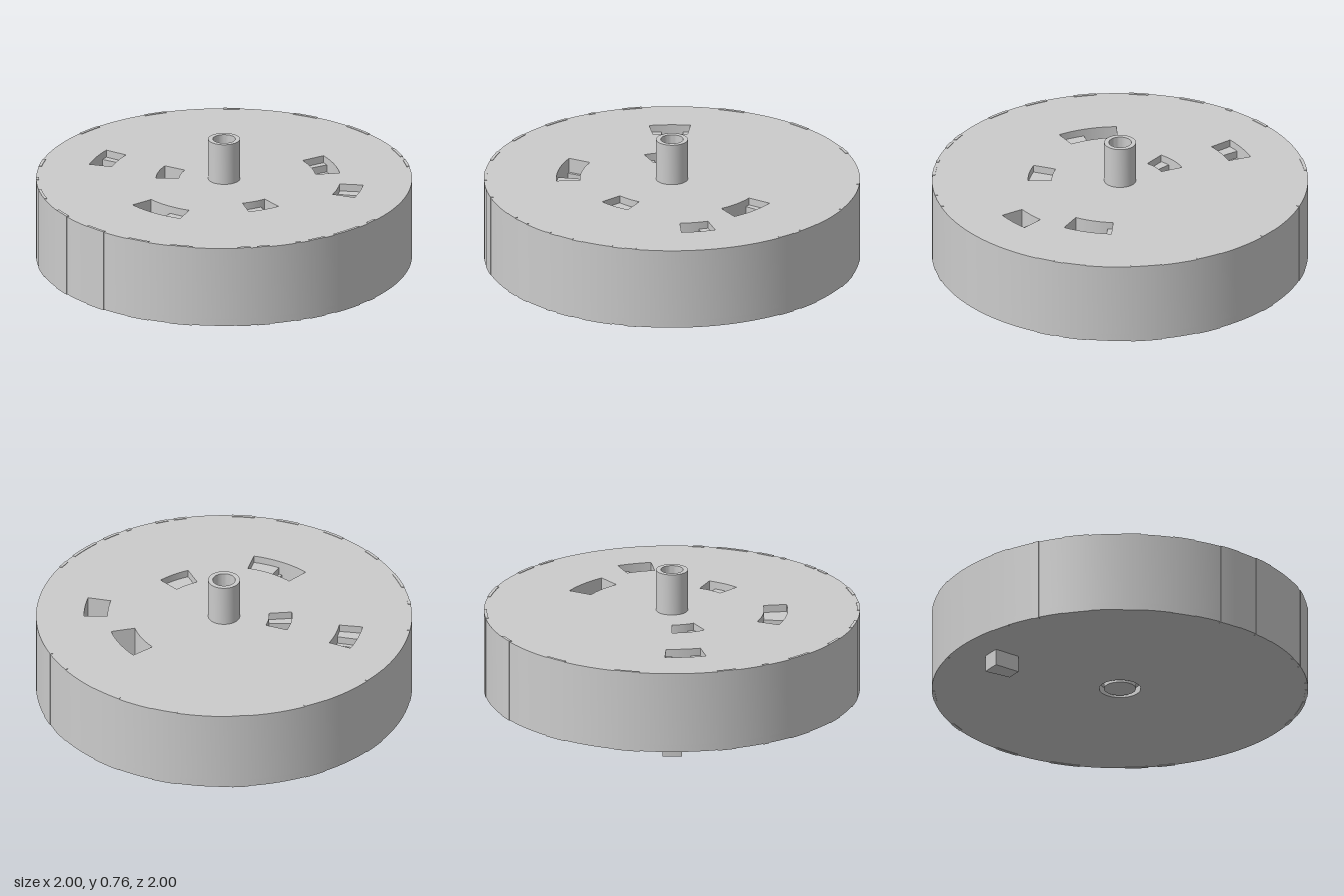
import * as THREE from 'three';
import { toCreasedNormals } from 'three/addons/utils/BufferGeometryUtils.js';

const BOTTOM = 0.09, PLATE = 0.13, TOP = 0.533;
const material = new THREE.MeshStandardMaterial({ color: 0xcccccc });
const rad = THREE.MathUtils.degToRad;

// Ring sector; angles in degrees run from +x towards +z
function sector(target, r0, r1, from, to) {
  const a = -rad(to), b = -rad(from);
  target.moveTo(r0 * Math.cos(a), r0 * Math.sin(a));
  target.lineTo(r1 * Math.cos(a), r1 * Math.sin(a));
  target.absarc(0, 0, r1, a, b, false);
  target.absarc(0, 0, r0, b, a, true);
  return target;
}

function circle(target, r) {
  return target.absarc(0, 0, r, 0, Math.PI * 2, false);
}

// Extrude a plan shape upwards from y0 to y1
function slab(group, name, shape, y0, y1, segments = 12) {
  let geo = new THREE.ExtrudeGeometry(shape, { depth: y1 - y0, bevelEnabled: false, curveSegments: segments });
  geo.rotateX(-Math.PI / 2).translate(0, y0, 0);
  geo = toCreasedNormals(geo, rad(30));
  const mesh = new THREE.Mesh(geo, material);
  mesh.name = name;
  group.add(mesh);
  return mesh;
}

// Windows: radii, then stepped floors as angle stops and depths below the top
const windows = [
  { r: [0.49, 0.62], stops: [-61.4, -58, -56, -47.5, -46, -37], depths: [0.04, 0.08, 0.16, 0.12, 0.2] },
  { r: [0.62, 0.745], stops: [-22.6, -18, -15, -8.5], depths: [0.04, 0.08, 0.16] },
  { r: [0.365, 0.49], stops: [24, 26.5, 28, 44.6], depths: [0.12, 0.08, 0.04] },
  { r: [0.49, 0.615], stops: [82.5, 96, 97.5, 109, 111, 112.5], depths: [0.04, 0.08, 0.16, 0.12, 0.08] },
  { r: [0.62, 0.745], stops: [166, 171, 173, 178, 180, 183], depths: [0.04, 0.08, 0.2, 0.12, 0.04] },
  { r: [0.24, 0.362], stops: [151.5, 160, 161, 165, 169, 180], depths: [0.04, 0.08, 0.12, 0.16, 0.2] },
];

// Faintly raised bands around the rim, as start and end angles
const rimBands = [
  [6.5, 10], [14, 24], [27.5, 33], [36, 37.5], [46, 50], [52, 56], [70, 77], [84, 91],
  [100, 107], [117, 123], [133, 141], [149, 151], [160, 166], [190, 198], [215, 222],
  [240, 245], [262, 270], [281.5, 291], [305, 312], [315, 320.5],
];

export function createModel() {
  const model = new THREE.Group();
  model.name = 'slottedDrum';

  // Drum body with windows cut into its top
  const body = circle(new THREE.Shape(), 1);
  for (const w of windows) {
    body.holes.push(sector(new THREE.Path(), w.r[0], w.r[1], w.stops[0], w.stops[w.stops.length - 1]));
  }
  slab(model, 'drumBody', body, PLATE, TOP, 96);

  // Base plate with a clearance ring around the shaft
  const base = circle(new THREE.Shape(), 1);
  base.holes.push(circle(new THREE.Path(), 0.11));
  slab(model, 'basePlate', base, BOTTOM, PLATE, 96);

  // Stepped floors inside the windows
  const floors = new THREE.Group();
  floors.name = 'windowFloors';
  model.add(floors);
  for (const w of windows) {
    w.depths.forEach((d, i) => {
      const shape = sector(new THREE.Shape(), w.r[0], w.r[1], w.stops[i], w.stops[i + 1]);
      slab(floors, 'windowFloor', shape, PLATE, TOP - d);
    });
  }

  // Rim bands
  const bands = new THREE.Group();
  bands.name = 'rimBands';
  model.add(bands);
  for (const [from, to] of rimBands) {
    slab(bands, 'rimBand', sector(new THREE.Shape(), 0.985, 1.001, from, to), BOTTOM - 0.003, TOP + 0.003);
  }

  // Central shaft with a blind bore
  const profile = [[0, BOTTOM], [0.085, BOTTOM], [0.085, 0.76], [0.06, 0.76], [0.06, 0.4], [0, 0.4]]
    .map(([x, y]) => new THREE.Vector2(x, y));
  const shaft = new THREE.Mesh(toCreasedNormals(new THREE.LatheGeometry(profile, 48), rad(30)), material);
  shaft.name = 'shaft';
  model.add(shaft);

  // Drive peg under the base
  slab(model, 'drivePeg', sector(new THREE.Shape(), 0.675, 0.825, 176.4, 183.6), 0, BOTTOM + 0.01);

  return model;
}
